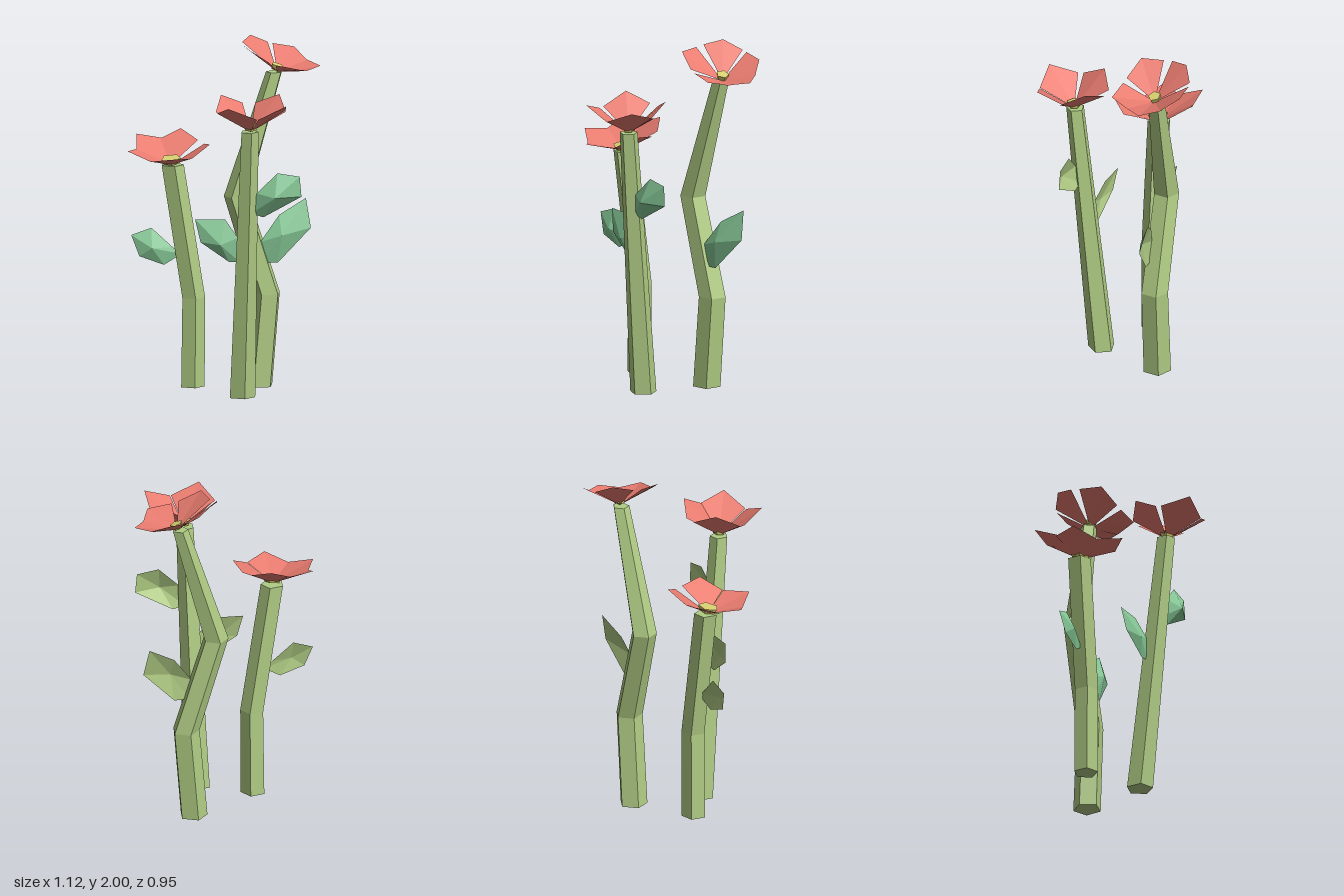
import * as THREE from 'three';

const mat = (color, side = THREE.FrontSide) =>
  new THREE.MeshStandardMaterial({ color, flatShading: true, side });
const green = mat(0xb0cc84);
const leafTop = mat(0x86c896);
const red = mat(0xea7c70, THREE.DoubleSide);
const yellow = mat(0xd8d070);
const rad = THREE.MathUtils.degToRad;

function mesh(name, geometry, material) {
  const m = new THREE.Mesh(geometry, material);
  m.name = name;
  return m;
}

function triangles(list) {
  const g = new THREE.BufferGeometry();
  g.setAttribute('position', new THREE.Float32BufferAttribute(list.flat(2), 3));
  g.computeVertexNormals();
  return g;
}

// Five-sided stem through rings [x, y, z, radius], listed from the top down
function stem(rings, turn) {
  const n = rings.length - 1;
  const g = new THREE.CylinderGeometry(1, 1, 1, 5, n, false, rad(turn));
  const p = g.attributes.position;
  for (let i = 0; i < p.count; i++) {
    const [x, y, z, r] = rings[Math.round((0.5 - p.getY(i)) * n)];
    p.setXYZ(i, x + p.getX(i) * r, y, z + p.getZ(i) * r);
  }
  g.computeVertexNormals();
  return mesh('stem', g, green);
}

// Thin leaf: a fan to a raised middle in front, and another behind
function leaf(outline, middle) {
  const group = new THREE.Group();
  group.name = 'leaf';
  const back = [middle[0], middle[1], middle[2] - 0.012];
  const next = (i) => outline[(i + 1) % outline.length];
  group.add(mesh('leafFront', triangles(outline.map((a, i) => [a, next(i), middle])), leafTop));
  group.add(mesh('leafBack', triangles(outline.map((a, i) => [next(i), a, back])), green));
  return group;
}

// Tilted cup of folded kite petals [angle, length] around a yellow core
function flower({ at, slope, tipRise, sideRise, sideRadius, half, core, petals }) {
  const group = new THREE.Group();
  group.name = 'flower';
  group.position.set(...at);
  const point = (deg, r, rise) => {
    const x = Math.sin(rad(deg)) * r, z = Math.cos(rad(deg)) * r;
    return [x, rise + slope[0] * x + slope[1] * z, z];
  };
  const base = [0, 0, 0];
  for (const [angle, length] of petals) {
    const tip = point(angle, length, tipRise);
    const a = point(angle - half, sideRadius, sideRise);
    const b = point(angle + half, sideRadius, sideRise);
    group.add(mesh('petal', triangles([[base, a, tip], [base, tip, b]]), red));
  }
  const heart = mesh('flowerCore', new THREE.CylinderGeometry(core, core * 0.8, 0.03, 5), yellow);
  heart.position.y = 0.025;
  heart.quaternion.setFromUnitVectors(
    new THREE.Vector3(0, 1, 0), new THREE.Vector3(-slope[0], 1, -slope[1]).normalize());
  group.add(heart);
  return group;
}

function plant(name, ...parts) {
  const group = new THREE.Group();
  group.name = name;
  group.add(...parts);
  return group;
}

export function createModel() {
  const model = new THREE.Group();
  model.name = 'flowers';

  // Short plant on the right-hand side
  model.add(plant('shortPlant',
    stem([[-0.305, 1.32, -0.11, 0.068], [-0.185, 0.55, -0.115, 0.07], [-0.19, 0.035, -0.115, 0.072]], 9),
    flower({
      at: [-0.31, 1.32, -0.1], slope: [0.09, -0.17], tipRise: 0.125, sideRise: 0.085,
      sideRadius: 0.2, half: 36, core: 0.06,
      petals: [[162, 0.236], [68, 0.23], [-5, 0.267], [-77, 0.26], [-139, 0.276]],
    }),
    leaf([[-0.25, 0.8, -0.12], [-0.3, 0.84, -0.12], [-0.42, 0.95, -0.14], [-0.535, 0.91, -0.14],
      [-0.49, 0.79, -0.12], [-0.35, 0.74, -0.11]], [-0.42, 0.84, -0.09])));

  // Front plant with a straight stem and a leaf on each side
  model.add(plant('frontPlant',
    stem([[0.108, 1.57, 0.255, 0.053], [0.075, 0.01, 0.108, 0.078]], 9),
    flower({
      at: [0.115, 1.57, 0.26], slope: [0, -0.07], tipRise: 0.185, sideRise: 0.12,
      sideRadius: 0.2, half: 42, core: 0.042,
      petals: [[126, 0.215], [50, 0.247], [-36, 0.245], [-129, 0.205]],
    }),
    leaf([[0.06, 0.8, 0.16], [0.05, 0.94, 0.16], [-0.02, 1.04, 0.12], [-0.19, 1.04, 0.1],
      [-0.16, 0.91, 0.12], [0, 0.8, 0.15]], [-0.05, 0.9, 0.17]),
    leaf([[0.12, 1.09, 0.22], [0.19, 1.07, 0.23], [0.405, 1.19, 0.255], [0.395, 1.305, 0.25],
      [0.27, 1.325, 0.24], [0.15, 1.21, 0.24]], [0.25, 1.19, 0.3])));

  // Tall back plant with a zigzag stem
  model.add(plant('tallPlant',
    stem([[0.295, 1.815, -0.293, 0.049], [0.08, 1.1, -0.28, 0.075], [0.253, 0.54, -0.267, 0.08],
      [0.208, 0.005, -0.267, 0.082]], 43),
    flower({
      at: [0.31, 1.815, -0.29], slope: [-0.34, -0.15], tipRise: 0.12, sideRise: 0.095,
      sideRadius: 0.2, half: 34, core: 0.038,
      petals: [[149, 0.216], [86, 0.246], [27, 0.248], [-52, 0.232], [-135, 0.2]],
    }),
    leaf([[0.22, 0.72, -0.24], [0.31, 0.72, -0.235], [0.5, 0.915, -0.26], [0.475, 1.08, -0.3],
      [0.32, 0.99, -0.27], [0.21, 0.84, -0.24]], [0.33, 0.88, -0.21])));

  return model;
}
